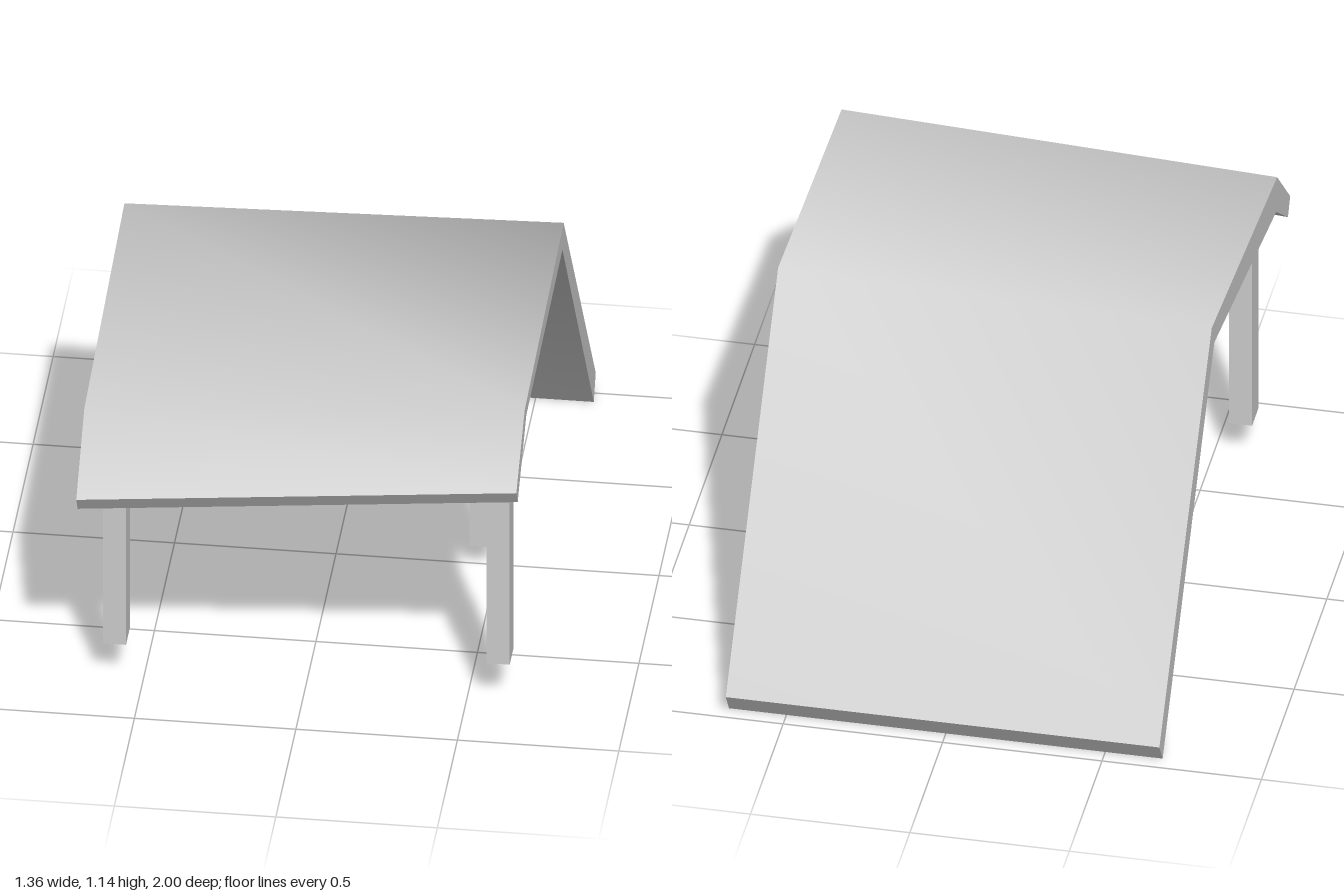
import * as THREE from 'three';

const material = new THREE.MeshStandardMaterial({ color: 0xcccccc });
const HALF_WIDTH = 0.68;

// Ruled strip between two equally long rows of [x, y, z] points
function strip(rowA, rowB) {
  const index = [];
  for (let i = 0; i < rowA.length - 1; i++) {
    const a = 2 * i;
    index.push(a, a + 2, a + 3, a, a + 3, a + 1);
  }
  const g = new THREE.BufferGeometry();
  const points = rowA.flatMap((p, i) => [...p, ...rowB[i]]);
  g.setAttribute('position', new THREE.Float32BufferAttribute(points, 3));
  g.setIndex(index);
  g.computeVertexNormals();
  return g;
}

// Profile given as [z, y] from the front lip to the back foot
const row = (x, profile) => profile.map(([z, y]) => [x, y, z]);

function createRoof() {
  const roof = new THREE.Group();
  roof.name = 'roof';
  const outerL = row(HALF_WIDTH, [[0.98, 0.905], [0.77, 1.075], [-0.2, 1.137], [-1, 0.075]]);
  const innerL = row(HALF_WIDTH, [[0.945, 0.85], [0.73, 1.03], [-0.17, 1.058], [-0.95, 0]]);
  const outerR = row(-HALF_WIDTH, [[1, 0.785], [0.8, 0.99], [-0.2, 1.1], [-1, 0.075]]);
  const innerR = row(-HALF_WIDTH, [[0.965, 0.73], [0.785, 0.87], [-0.16, 1.02], [-0.95, 0]]);
  const surfaces = {
    roofTop: strip(outerL, outerR),
    roofUnderside: strip([...innerL].reverse(), [...innerR].reverse()),
    leftGableEdge: strip(innerL, outerL),
    rightGableEdge: strip(outerR, innerR),
    frontLip: strip([innerL[0], outerL[0]], [innerR[0], outerR[0]]),
    backFoot: strip([outerL[3], innerL[3]], [outerR[3], innerR[3]]),
  };
  for (const [name, geometry] of Object.entries(surfaces)) {
    const mesh = new THREE.Mesh(geometry, material);
    mesh.name = name;
    roof.add(mesh);
  }
  return roof;
}

// Square-cut post whose top end is buried in the roof
function createPost(name, x, z, bottom, top) {
  const post = new THREE.Mesh(new THREE.BoxGeometry(0.072, top - bottom, 0.1), material);
  post.name = name;
  post.position.set(x, (bottom + top) / 2, z);
  return post;
}

export function createModel() {
  const model = new THREE.Group();
  model.name = 'shelter';
  model.add(
    createRoof(),
    createPost('frontLeftPost', 0.6, 0.74, 0.152, 1.04),
    createPost('frontRightPost', -0.588, 0.74, 0.13, 0.94),
    createPost('middlePost', 0.455, -0.008, 0.09, 1.06),
  );
  return model;
}
